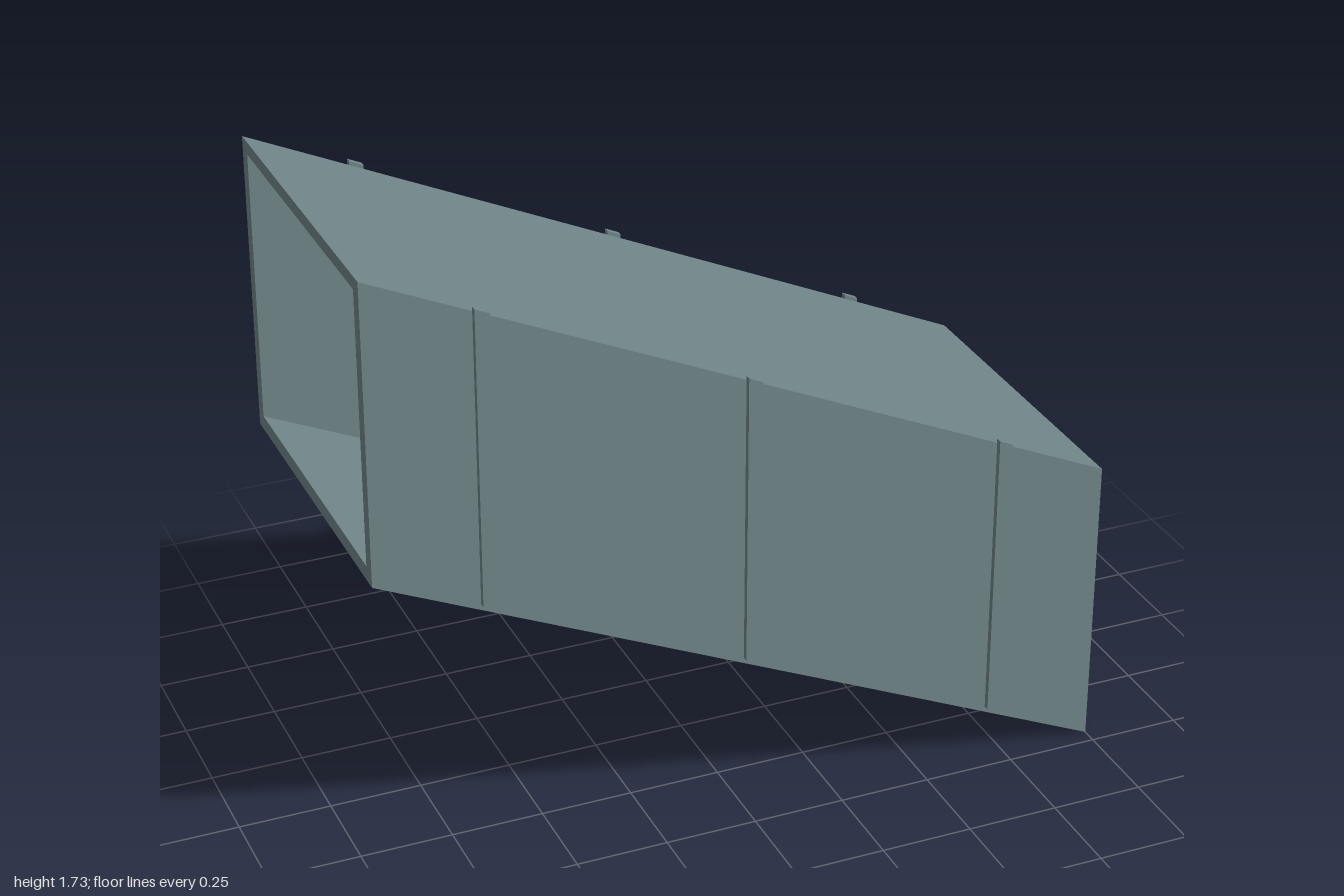
import * as THREE from 'three';

const SLOPE = -0.4575; // drop of the duct per unit of x

// Slants a geometry vertically so that it follows the duct
function shear(geometry) {
  const m = new THREE.Matrix4().set(
    1, 0, 0, 0,
    SLOPE, 1, 0, 0.4575,
    0, 0, 1, 0,
    0, 0, 0, 1);
  geometry.applyMatrix4(m);
  geometry.computeVertexNormals();
  return geometry;
}

function rectangle(PathType, halfWidth, bottom, top) {
  return new PathType([
    [-halfWidth, bottom], [halfWidth, bottom], [halfWidth, top], [-halfWidth, top],
  ].map(([x, y]) => new THREE.Vector2(x, y)));
}

export function createModel() {
  const model = new THREE.Group();
  model.name = 'slopedDuct';
  const metal = new THREE.MeshStandardMaterial({ name: 'greyTeal', color: 0x708588 });

  // Open rectangular tube
  const section = rectangle(THREE.Shape, 0.458, 0, 0.815);
  section.holes.push(rectangle(THREE.Path, 0.42, 0.04, 0.78));
  const tube = new THREE.ExtrudeGeometry(section, { depth: 2, bevelEnabled: false });
  tube.translate(0, 0, -1).rotateY(Math.PI / 2);
  const duct = new THREE.Mesh(shear(tube), metal);
  duct.name = 'duct';
  model.add(duct);

  // Three upright ribs on each side, standing slightly proud of the roof
  for (const side of [-1, 1]) {
    for (const x of [-0.705, 0, 0.705]) {
      const bar = new THREE.BoxGeometry(0.038, 0.81, 0.017);
      bar.translate(x, 0.421, side * 0.4655);
      const rib = new THREE.Mesh(shear(bar), metal);
      rib.name = side > 0 ? 'frontRib' : 'backRib';
      model.add(rib);
    }
  }
  return model;
}
